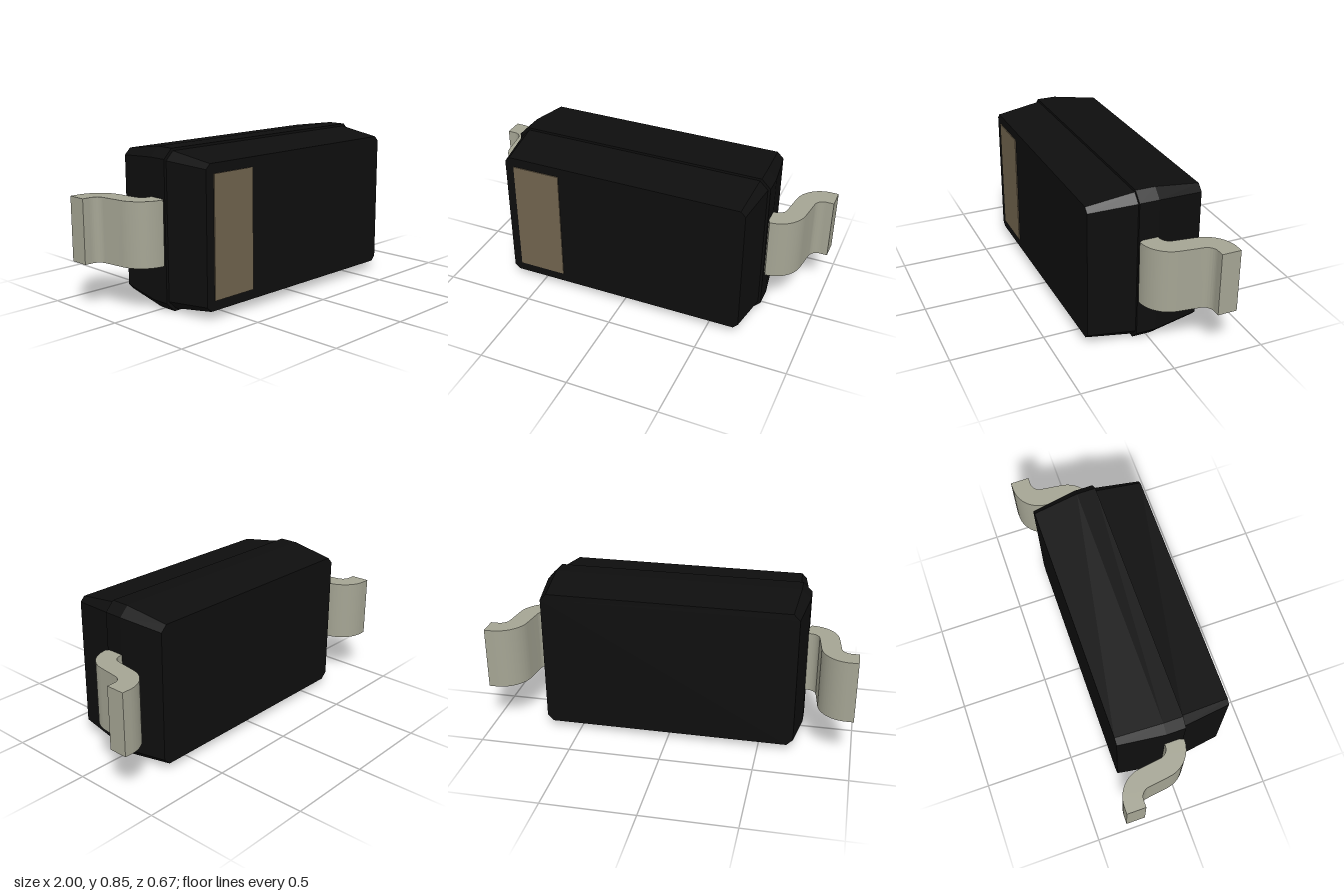
import * as THREE from 'three';
import { toCreasedNormals } from 'three/addons/utils/BufferGeometryUtils.js';

const MID_Y = 0.4225;

// Cross-sections of the moulded body: [z, half width, half height, corner chamfer]
const SECTIONS = [
  [0.327, 0.677, 0.3725, 0.026],
  [0.075, 0.711, 0.409, 0.045],
  [0.075, 0.725, 0.4225, 0.05],
  [-0.03, 0.725, 0.4225, 0.05],
  [-0.28, 0.69, 0.386, 0.034],
];

// Chamfered rectangle, counter-clockwise as seen from the front
function ring([z, w, h, c]) {
  return [
    [w, h - c], [w - c, h], [c - w, h], [-w, h - c],
    [-w, c - h], [c - w, -h], [w - c, -h], [w, c - h],
  ].map(([x, y]) => [x, y, z]);
}

// Loft the sections with flat faces and close both ends
function bodyGeometry() {
  const rings = SECTIONS.map(ring);
  const pos = [];
  const tri = (a, b, c) => pos.push(...a, ...b, ...c);
  for (let i = 0; i < rings.length - 1; i++) {
    const a = rings[i], b = rings[i + 1];
    for (let j = 0; j < 8; j++) {
      const k = (j + 1) % 8;
      tri(a[j], b[j], b[k]);
      tri(a[j], b[k], a[k]);
    }
  }
  const front = rings[0], back = rings[rings.length - 1];
  for (let j = 1; j < 7; j++) {
    tri(front[0], front[j], front[j + 1]);
    tri(back[0], back[j + 1], back[j]);
  }
  const geo = new THREE.BufferGeometry();
  geo.setAttribute('position', new THREE.Float32BufferAttribute(pos, 3));
  geo.computeVertexNormals();
  return geo;
}

// S-bent strip drawn in the x/z plane, extruded along the height
function leadGeometry() {
  const inner = 0.053, outer = 0.158, height = 0.342;
  const lean = THREE.MathUtils.degToRad(7.6), q = Math.PI / 2;
  const s = new THREE.Shape();
  s.moveTo(0.69, 0.075);
  s.absarc(0.735, -0.083, outer, q, lean, true);
  s.absarc(0.96, -0.177, inner, Math.PI + lean, 3 * q, false);
  s.lineTo(1, -0.23);
  s.lineTo(1, -0.335);
  s.absarc(0.96, -0.177, outer, 3 * q, Math.PI + lean, true);
  s.absarc(0.735, -0.083, inner, lean, q, false);
  s.lineTo(0.69, -0.03);
  s.closePath();
  const geo = new THREE.ExtrudeGeometry(s, { depth: height, bevelEnabled: false, curveSegments: 16 });
  geo.translate(0, 0, -height / 2);
  geo.rotateX(Math.PI / 2);
  return toCreasedNormals(geo, 0.5);
}

export function createModel() {
  const plastic = new THREE.MeshStandardMaterial({ color: 0x0e0e0e });
  plastic.name = 'black plastic';
  const metal = new THREE.MeshStandardMaterial({ color: 0xa5a594 });
  metal.name = 'lead metal';
  const paint = new THREE.MeshStandardMaterial({ color: 0x71644e });
  paint.name = 'brown band paint';

  const model = new THREE.Group();
  model.name = 'surfaceMountDiode';
  const add = (name, geo, mat, x, y, z) => {
    const mesh = new THREE.Mesh(geo, mat);
    mesh.name = name;
    mesh.position.set(x, y, z);
    model.add(mesh);
    return mesh;
  };

  add('body', bodyGeometry(), plastic, 0, MID_Y, 0);

  // Polarity band on the front face
  add('polarityBand', new THREE.BoxGeometry(0.267, 0.642, 0.008), paint, -0.494, MID_Y, 0.328);

  // Leads, the right one turned half round about z
  const lead = leadGeometry();
  add('leftLead', lead, metal, 0, MID_Y, 0);
  add('rightLead', lead, metal, 0, MID_Y, 0).rotation.z = Math.PI;

  return model;
}
